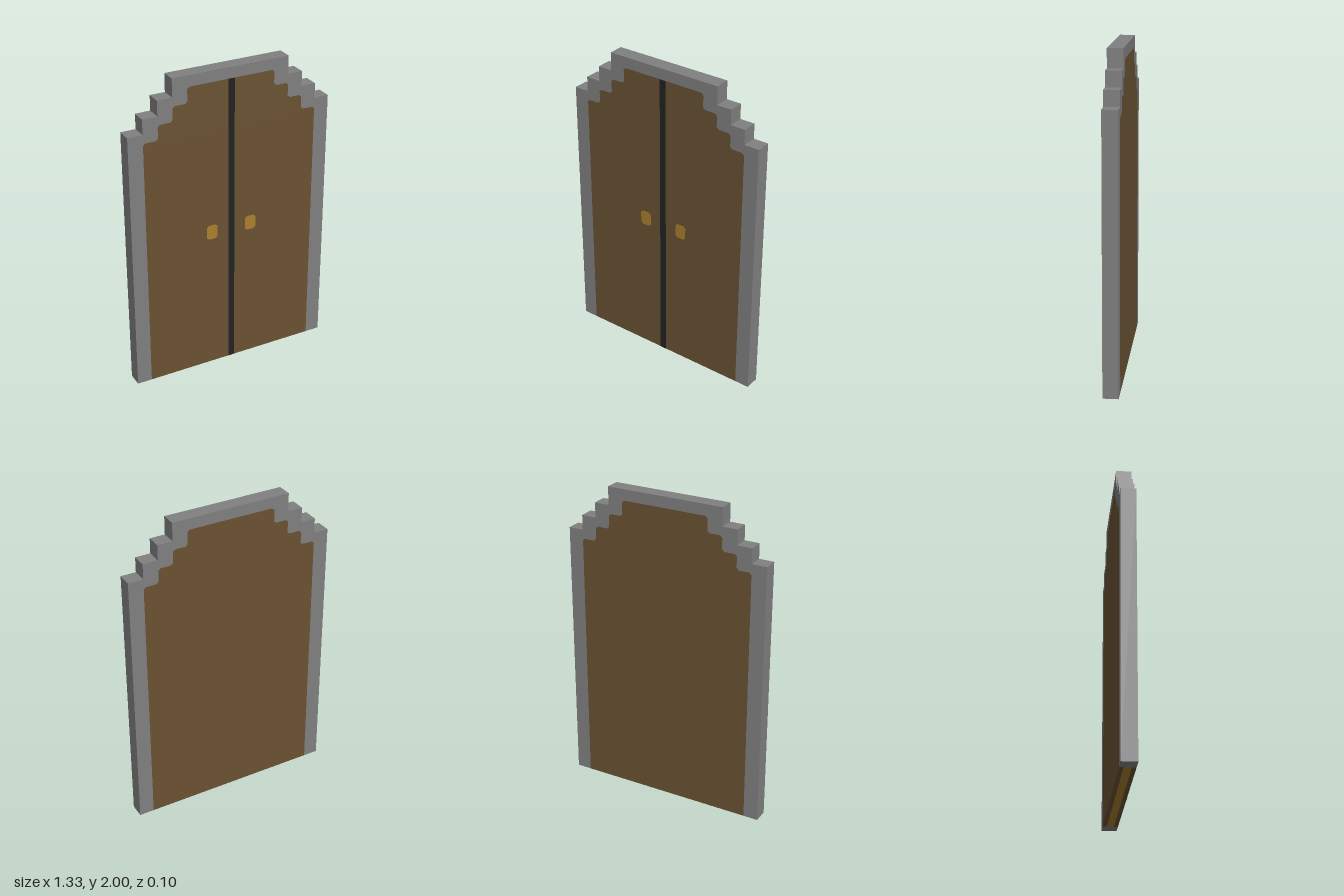
import * as THREE from 'three';

const HALF = 0.0475; // half the thickness

function material(name, color) {
  const m = new THREE.MeshStandardMaterial({ color });
  m.name = name;
  return m;
}

// cut the corners of an open or closed path
function chamfer(points, size, closed) {
  const n = points.length;
  return points.flatMap((p, i) => {
    if (!closed && (i === 0 || i === n - 1)) return [p];
    return [points[(i + n - 1) % n], points[(i + 1) % n]].map((q) =>
      p.clone().add(q.clone().sub(p).setLength(size)));
  });
}

// stepped arch, from the bottom right over the top to the bottom left
function steppedArch(xs, ys) {
  const right = [new THREE.Vector2(xs[0], 0)];
  xs.forEach((x, i) => {
    right.push(new THREE.Vector2(x, ys[i]));
    if (i < xs.length - 1) right.push(new THREE.Vector2(xs[i + 1], ys[i]));
  });
  const left = right.map((p) => new THREE.Vector2(-p.x, p.y)).reverse();
  return [...right, ...left];
}

function slab(name, points, z0, z1, mat) {
  const geometry = new THREE.ExtrudeGeometry(new THREE.Shape(points), { depth: z1 - z0, bevelEnabled: false });
  geometry.translate(0, 0, z0);
  const mesh = new THREE.Mesh(geometry, mat);
  mesh.name = name;
  return mesh;
}

function rectangle(x0, x1, y0, y1) {
  return [[x0, y0], [x1, y0], [x1, y1], [x0, y1]].map(([x, y]) => new THREE.Vector2(x, y));
}

export function createModel() {
  const group = new THREE.Group();
  group.name = 'archedDoor';

  const stone = material('stoneGrey', 0x808080);
  const wood = material('woodBrown', 0x6a5233);
  const dark = material('gapBlack', 0x222222);
  const brass = material('brassGold', 0xaa7f2e);

  const outer = steppedArch([0.665, 0.57, 0.475, 0.38], [1.695, 1.79, 1.885, 2]);
  const inner = chamfer(steppedArch([0.57, 0.475, 0.38, 0.285], [1.64, 1.735, 1.83, 1.93]), 0.014, false);

  // stone surround, open at the bottom
  group.add(slab('frame', [...outer, ...inner.slice().reverse()], -HALF, HALF, stone));

  // wooden faces over a brass core
  group.add(slab('frontPanel', inner, 0.022, HALF, wood));
  group.add(slab('core', inner, -0.022, 0.022, brass));
  group.add(slab('backPanel', inner, -HALF, -0.022, wood));

  // gap between the two leaves
  group.add(slab('centreGap', rectangle(-0.021, 0.021, 0, 1.93), HALF - 0.004, HALF + 0.001, dark));

  // one handle on each leaf
  for (const [name, x] of [['leftHandle', 0.132], ['rightHandle', -0.132]]) {
    const outline = chamfer(rectangle(x - 0.037, x + 0.037, 0.905, 1), 0.014, true);
    group.add(slab(name, outline, HALF - 0.004, HALF + 0.001, brass));
  }
  return group;
}
